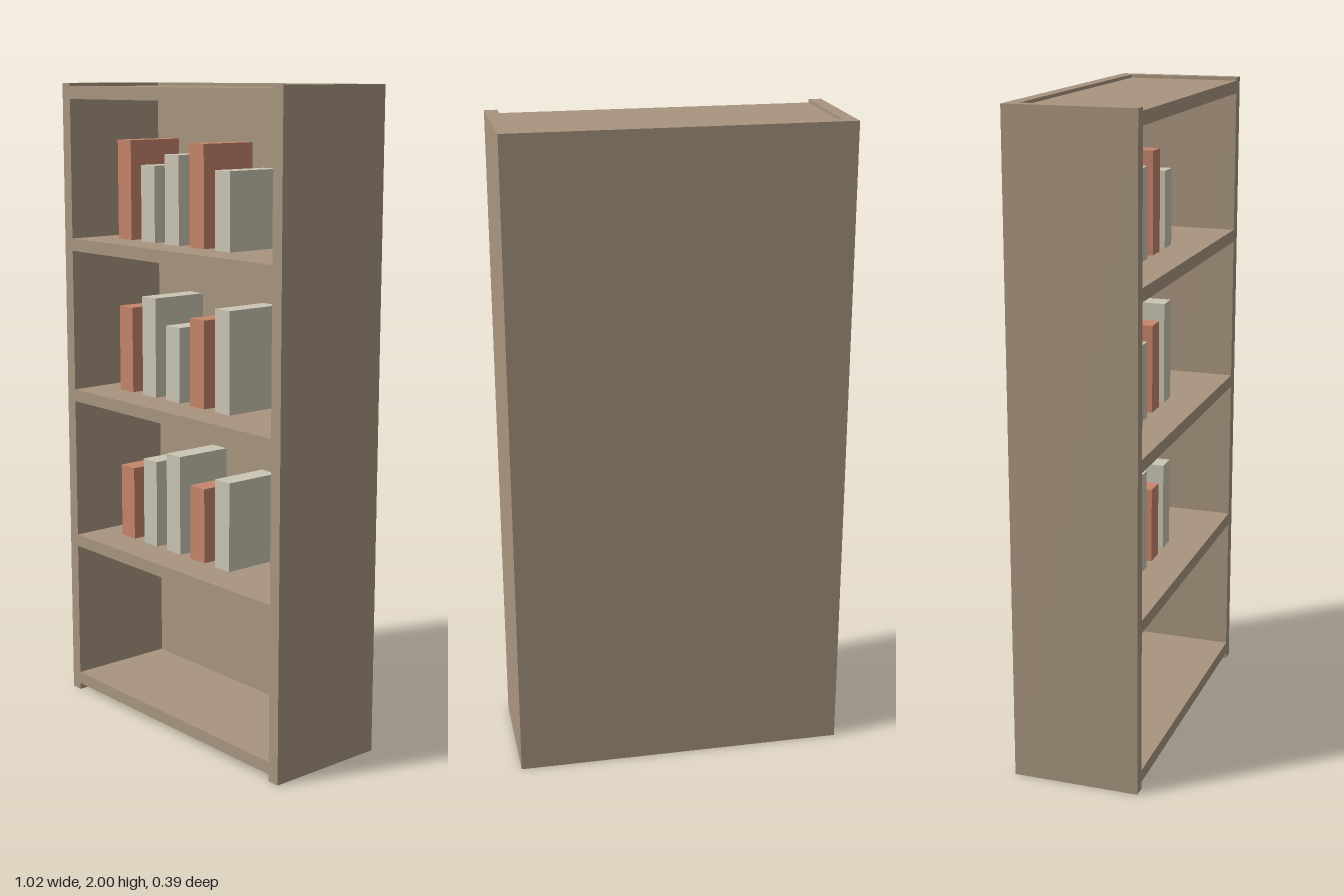
import * as THREE from 'three';

export function createModel() {
  const model = new THREE.Group();
  model.name = 'bookcase';

  const makeMaterial = (name, color) => {
    const m = new THREE.MeshStandardMaterial({ color });
    m.name = name;
    return m;
  };
  const wood = makeMaterial('wood', 0xa8957f);
  const red = makeMaterial('redCover', 0xc6846b);
  const cream = makeMaterial('creamCover', 0xcac5b3);

  // Box given by its lower and upper corners
  const box = (name, material, [x0, y0, z0], [x1, y1, z1]) => {
    const mesh = new THREE.Mesh(new THREE.BoxGeometry(x1 - x0, y1 - y0, z1 - z0), material);
    mesh.position.set((x0 + x1) / 2, (y0 + y1) / 2, (z0 + z1) / 2);
    mesh.name = name;
    model.add(mesh);
  };

  const halfWidth = 0.512, halfDepth = 0.194, board = 0.039;
  const inner = halfWidth - board, innerBack = -halfDepth + board;

  // Carcass: two sides and a full-height back
  box('leftSide', wood, [inner, 0, -halfDepth], [halfWidth, 2, halfDepth]);
  box('rightSide', wood, [-halfWidth, 0, -halfDepth], [-inner, 2, halfDepth]);
  box('back', wood, [-inner, 0, -halfDepth], [inner, 2, innerBack]);

  // Bottom, three shelves and top, flush with the front edges
  const shelfTops = [0.06, 0.54, 1.028, 1.516, 1.99];
  shelfTops.forEach((y, i) => {
    const name = i === 0 ? 'bottomBoard' : i === 4 ? 'topBoard' : `shelf${i}`;
    box(name, wood, [-inner, y - board, innerBack], [inner, y, halfDepth]);
  });

  // Five books on each shelf
  const bookHeights = [
    [0.237, 0.279, 0.317, 0.237, 0.279],
    [0.273, 0.315, 0.236, 0.273, 0.315],
    [0.31, 0.236, 0.273, 0.31, 0.236],
  ];
  bookHeights.forEach((row, r) => {
    const y = shelfTops[r + 1];
    row.forEach((height, i) => {
      const x = -0.381 + i * 0.1185;
      const cover = i % 3 === 0 ? red : cream;
      box(`book${r + 1}_${i + 1}`, cover, [x, y, -0.113], [x + 0.067, y + height, 0.079]);
    });
  });

  return model;
}
